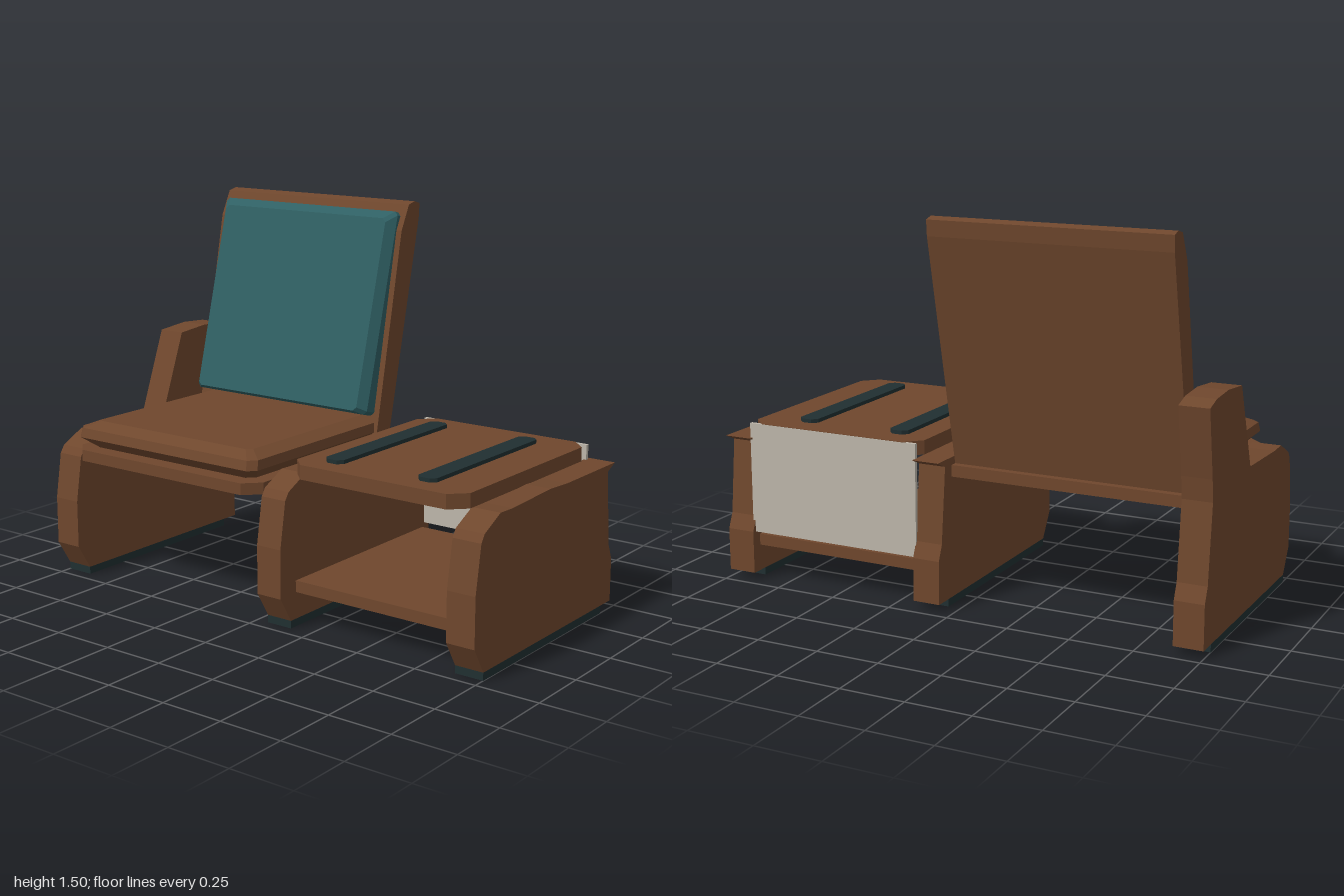
import * as THREE from 'three';

const mat = (name, color) => {
  const m = new THREE.MeshStandardMaterial({ color });
  m.name = name;
  return m;
};

// Extrude a (z, y) side profile from x0 to x1
function sideExtrude(points, x0, x1) {
  const shape = new THREE.Shape(points.map(([z, y]) => new THREE.Vector2(z, y)));
  const geo = new THREE.ExtrudeGeometry(shape, { depth: x1 - x0, bevelEnabled: false });
  geo.rotateY(-Math.PI / 2);
  return geo.translate(x1, 0, 0);
}

// Stack of rectangles with cut corners; ring = [y, x0, x1, z0, z1, backCut, frontCut]
function loft(rings) {
  const pos = [], idx = [], n = 8;
  for (const [y, x0, x1, z0, z1, b, f] of rings) {
    const outline = [[x0, z1 - f], [x0 + f, z1], [x1 - f, z1], [x1, z1 - f],
      [x1, z0 + b], [x1 - b, z0], [x0 + b, z0], [x0, z0 + b]];
    for (const [x, z] of outline) pos.push(x, y, z);
  }
  const top = (rings.length - 1) * n;
  for (let r = 0; r < top; r += n) {
    for (let i = 0; i < n; i++) {
      const a = r + i, c = r + (i + 1) % n;
      idx.push(a, c, c + n, a, c + n, a + n);
    }
  }
  for (let i = 1; i < n - 1; i++) {
    idx.push(0, i + 1, i, top, top + i, top + i + 1);
  }
  const geo = new THREE.BufferGeometry();
  geo.setAttribute('position', new THREE.Float32BufferAttribute(pos, 3));
  geo.setIndex(idx);
  const flat = geo.toNonIndexed();
  flat.computeVertexNormals();
  return flat;
}

export function createModel() {
  const group = new THREE.Group();
  const wood = mat('brown wood', 0x6f472d);
  const teal = mat('teal fabric', 0x2f5f63);
  const dark = mat('dark rubber', 0x202f31);
  const pale = mat('pale panel', 0xbdb6aa);

  const add = (name, geo, material) => {
    const mesh = new THREE.Mesh(geo, material);
    mesh.name = name;
    group.add(mesh);
    return mesh;
  };
  const box = (name, x0, x1, y0, y1, z0, z1, material) => {
    const geo = new THREE.BoxGeometry(x1 - x0, y1 - y0, z1 - z0);
    add(name, geo.translate((x0 + x1) / 2, (y0 + y1) / 2, (z0 + z1) / 2), material);
  };

  // Three upright side panels on dark feet; the right one carries a raised arm
  const back = [[-0.41, 0.555], [-0.44, 0.26], [-0.465, 0.2], [-0.465, 0.03]];
  const front = [[0.45, 0.03], [0.51, 0.13], [0.51, 0.32], [0.48, 0.5], [0.46, 0.53], [0.36, 0.58]];
  const lowTop = [[0.28, 0.577], [0.02, 0.587], [-0.1, 0.58], [-0.465, 0.58]];
  const armTop = [[0.28, 0.577], [-0.01, 0.587], [-0.135, 0.915], [-0.28, 0.928],
    [-0.4, 0.92], [-0.465, 0.9], [-0.42, 0.64]];
  const panels = [
    ['armPanel', -1, -0.885, armTop],
    ['middlePanel', 0.05, 0.16, lowTop],
    ['endPanel', 0.885, 1, lowTop],
  ];
  for (const [name, x0, x1, top] of panels) {
    add(name, sideExtrude([...front, ...top, ...back], x0, x1), wood);
    box(name + 'Foot', x0, x1, 0, 0.03, -0.39, 0.45, dark);
  }

  // Seat board and bevelled seat
  add('seatBoard', loft([
    [0.505, -0.885, 0.05, -0.36, 0.53, 0, 0.06],
    [0.55, -0.885, 0.05, -0.36, 0.53, 0, 0.06],
  ]), wood);
  add('seatCushion', loft([
    [0.55, -0.825, -0.015, -0.33, 0.46, 0, 0.03],
    [0.595, -0.875, 0.035, -0.33, 0.515, 0, 0.03],
    [0.632, -0.87, 0.03, -0.33, 0.505, 0, 0.03],
    [0.657, -0.81, -0.03, -0.33, 0.45, 0, 0.02],
  ]), wood);

  // Reclined back board with a padded front
  add('backBoard', sideExtrude([
    [-0.24, 0.55], [-0.41, 1.39], [-0.46, 1.49], [-0.5, 1.5], [-0.535, 1.49],
    [-0.53, 1.43], [-0.33, 0.55],
  ], -0.885, 0.05), wood);
  const pad = add('backCushion', loft([
    [-0.03, -0.865, 0.025, -0.41, 0.41, 0.015, 0.015],
    [0.035, -0.865, 0.025, -0.41, 0.41, 0.015, 0.015],
    [0.07, -0.835, -0.005, -0.375, 0.4, 0.015, 0.015],
  ]), teal);
  pad.position.set(0, 1.058, -0.35);
  pad.rotation.x = Math.PI / 2 - 0.26;

  // Side table: top, two dark strips, shelf and rear panel
  add('tableTop', loft([
    [0.585, 0.15, 0.9, -0.445, 0.455, 0.06, 0.06],
    [0.64, 0.15, 0.9, -0.445, 0.455, 0.06, 0.06],
  ]), wood);
  for (const x of [0.29, 0.695]) {
    add('tableStrip', loft([
      [0.638, x - 0.04, x + 0.04, -0.35, 0.37, 0.02, 0.02],
      [0.655, x - 0.04, x + 0.04, -0.35, 0.37, 0.02, 0.02],
    ]), dark);
  }
  box('tableShelf', 0.16, 0.885, 0.135, 0.18, -0.42, 0.42, wood);
  box('tableRearPanel', 0.157, 0.895, 0.197, 0.638, -0.447, -0.432, pale);

  return group;
}
